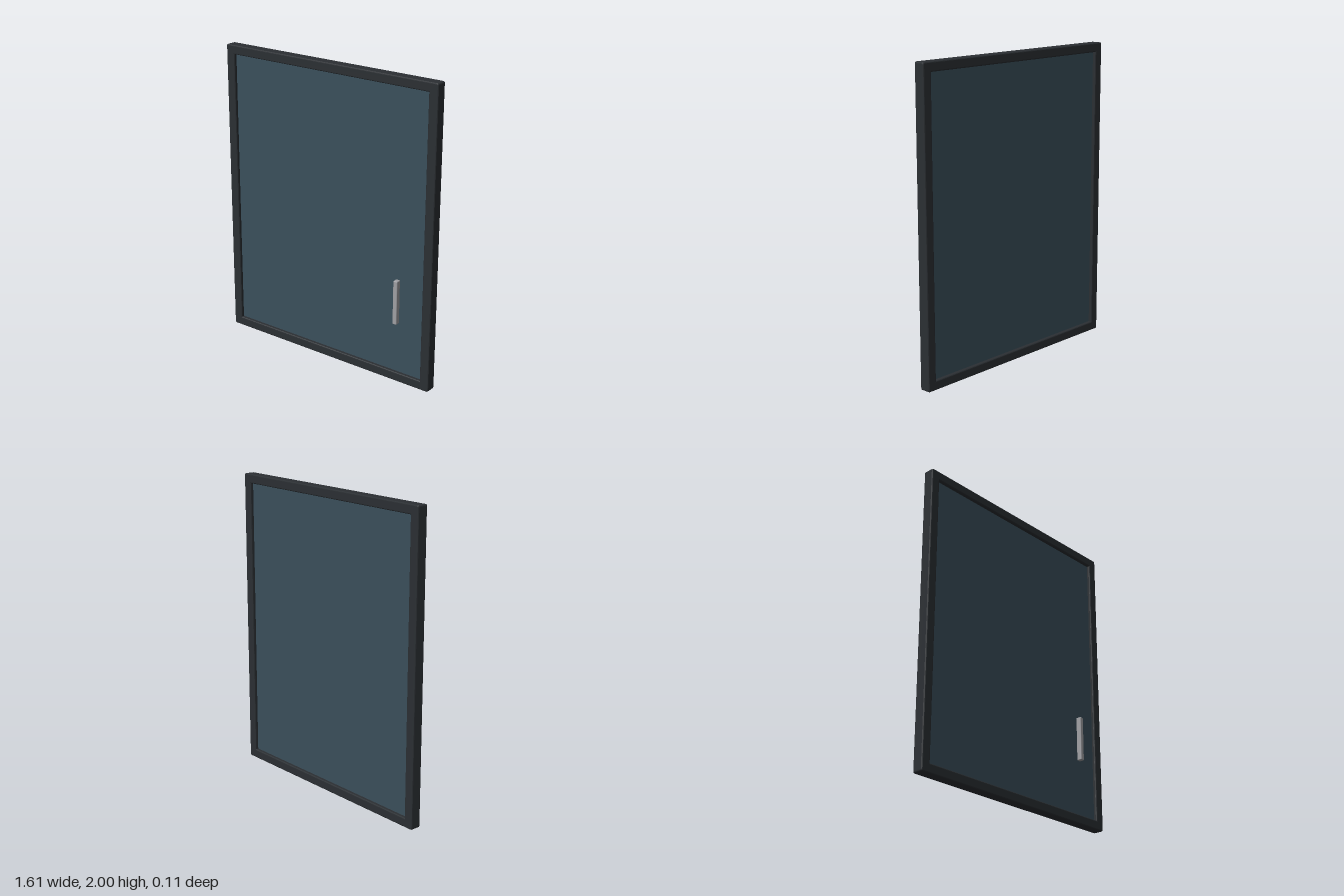
import * as THREE from 'three';
import { RoundedBoxGeometry } from 'three/addons/geometries/RoundedBoxGeometry.js';

const paint = (color) => new THREE.MeshStandardMaterial({ color });

function add(group, name, geometry, material, x, y, z) {
  const mesh = new THREE.Mesh(geometry, material);
  mesh.name = name;
  mesh.position.set(x, y, z);
  group.add(mesh);
}

// Rectangle centred on the origin with rounded corners
function roundedRect(path, w, h, r) {
  const x = w / 2, y = h / 2;
  path.moveTo(-x + r, -y);
  path.lineTo(x - r, -y);
  path.quadraticCurveTo(x, -y, x, -y + r);
  path.lineTo(x, y - r);
  path.quadraticCurveTo(x, y, x - r, y);
  path.lineTo(-x + r, y);
  path.quadraticCurveTo(-x, y, -x, y - r);
  path.lineTo(-x, -y + r);
  path.quadraticCurveTo(-x, -y, -x + r, -y);
  return path;
}

export function createModel() {
  const group = new THREE.Group();
  group.name = 'glassDoor';

  const width = 1.614, height = 2, depth = 0.074, bevel = 0.008;
  const middle = -0.019;

  // Frame with softened edges around the opening and the outside
  const outline = roundedRect(new THREE.Shape(), width, height, 0.012);
  const hole = new THREE.Path();
  const hx = 0.744, hy = 0.939;
  hole.moveTo(-hx, -hy).lineTo(-hx, hy).lineTo(hx, hy).lineTo(hx, -hy).closePath();
  outline.holes.push(hole);
  const frame = new THREE.ExtrudeGeometry(outline, {
    depth: depth - 2 * bevel,
    bevelEnabled: true,
    bevelThickness: bevel,
    bevelSize: bevel,
    bevelOffset: -bevel,
    bevelSegments: 3,
    curveSegments: 4,
  });
  frame.translate(0, 0, bevel - depth / 2);
  add(group, 'frame', frame, paint(0x2b2f33), 0, height / 2, middle);

  // Pane held inside the frame
  const pane = new THREE.BoxGeometry(2 * hx + 0.02, 2 * hy + 0.02, 0.03);
  add(group, 'glassPane', pane, paint(0x3a4f5b), 0, height / 2, middle);

  // Upright pull handle in front of the pane
  const handle = new RoundedBoxGeometry(0.03, 0.297, 0.036, 3, 0.006);
  add(group, 'handle', handle, paint(0xa0a0a4), 0.568, 0.567, 0.038);

  return group;
}
